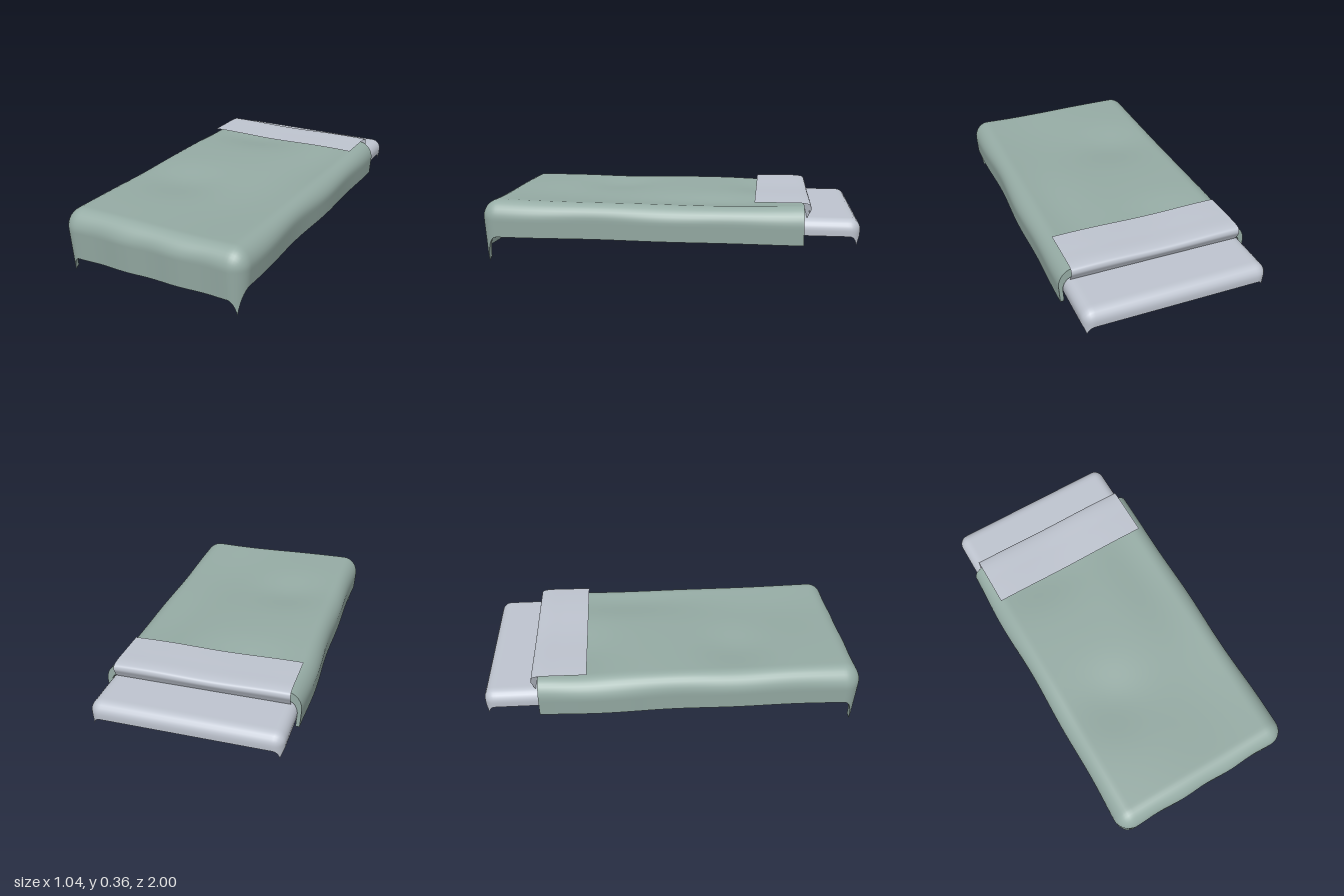
import * as THREE from 'three';

const green = new THREE.MeshStandardMaterial({ color: 0x96aca5, side: THREE.DoubleSide });
green.name = 'sage blanket';
const pale = new THREE.MeshStandardMaterial({ color: 0xbfc5d0, side: THREE.DoubleSide });
pale.name = 'pale linen';

// Smooth surface from a function of two grid indices, (nx + 1) by (nz + 1) points
function gridGeometry(nx, nz, point) {
  const pos = [], index = [];
  for (let j = 0; j <= nz; j++) for (let i = 0; i <= nx; i++) pos.push(...point(i, j));
  for (let j = 0; j < nz; j++) {
    for (let i = 0; i < nx; i++) {
      const a = j * (nx + 1) + i, b = a + 1, c = a + nx + 1, d = c + 1;
      index.push(a, c, b, b, c, d);
    }
  }
  const g = new THREE.BufferGeometry();
  g.setAttribute('position', new THREE.Float32BufferAttribute(pos, 3));
  g.setIndex(index);
  g.computeVertexNormals();
  return g;
}

// Soft hollows in the bedding: x, z, x spread, z spread
const hollows = [
  [0.34, -0.25, 0.16, 0.45], [0.2, 0.5, 0.3, 0.45],
  [-0.2, 0.35, 0.2, 0.2], [-0.18, -0.5, 0.24, 0.17],
];
function wave(x, z) {
  let y = 0.012;
  for (const [cx, cz, sx, sz] of hollows) {
    y -= 0.022 * Math.exp(-(((x - cx) / sx) ** 2) - ((z - cz) / sz) ** 2);
  }
  return Math.max(y, -0.014);
}
const ripple = (x, z) => 0.004 * Math.sin(9 * z + 3 * x) + 0.003 * Math.sin(21 * x + 5 * z);

// A flat cloth laid over a box: it bends round the edge, then hangs.
// The corners hang lowest because they lie furthest from the box.
function drape(o) {
  const { half, back, front, r, top, sideDrop, endDrop, openBack, soft } = o;
  const reach = (drop) => r * Math.PI / 2 + drop - r;
  const ix = half - r, z1 = front - r, z0 = openBack ? back : back + r;
  const a1 = ix + reach(sideDrop);
  const b1 = z1 + reach(endDrop), b0 = openBack ? back : z0 - reach(endDrop);
  return (u, v) => {
    const a = -a1 + 2 * a1 * u, b = b0 + (b1 - b0) * v;
    const cx = THREE.MathUtils.clamp(a, -ix, ix), cz = THREE.MathUtils.clamp(b, z0, z1);
    const qx = a - cx, qz = b - cz, d = Math.hypot(qx, qz);
    let out = 0, drop = 0;
    if (d > 0) {
      const t = Math.min(d / r, Math.PI / 2);
      const hang = Math.max(0, d - r * Math.PI / 2);
      out = r * Math.sin(t) - 0.07 * hang;
      drop = r * (1 - Math.cos(t)) + hang;
    }
    const fade = Math.max(0, 1 - drop / r);
    if (soft) out += ripple(cx, cz) * Math.min(1, drop / r);
    const n = d || 1;
    return [
      cx + qx / n * out,
      top - drop + (soft ? wave(cx, cz) * fade : 0),
      cz + qz / n * out,
    ];
  };
}

export function createModel() {
  const model = new THREE.Group();
  const add = (name, geometry, material) => {
    const m = new THREE.Mesh(geometry, material);
    m.name = name;
    model.add(m);
  };

  // Fitted sheet
  const NX = 80, NZ = 130;
  const sheet = drape({ half: 0.49, back: -1, front: 0.97, r: 0.055, top: 0.266, sideDrop: 0.086, endDrop: 0.086 });
  add('fittedSheet', gridGeometry(NX, NZ, (i, j) => sheet(i / NX, j / NZ)), pale);

  // Blanket: outer face, lining and the edge between them
  const outer = drape({ half: 0.515, back: -0.715, front: 0.994, r: 0.085, top: 0.317, sideDrop: 0.187, endDrop: 0.247, openBack: true, soft: true });
  const inner = drape({ half: 0.493, back: -0.715, front: 0.975, r: 0.06, top: 0.267, sideDrop: 0.137, endDrop: 0.197, openBack: true, soft: true });
  add('blanket', gridGeometry(NX, NZ, (i, j) => outer(i / NX, j / NZ)), green);
  add('blanketLining', gridGeometry(NX, NZ, (i, j) => inner(1 - i / NX, j / NZ)), green);
  const border = [];
  for (let i = 0; i < NX; i++) border.push([i / NX, 0]);
  for (let j = 0; j < NZ; j++) border.push([1, j / NZ]);
  for (let i = NX; i > 0; i--) border.push([i / NX, 1]);
  for (let j = NZ; j >= 0; j--) border.push([0, j / NZ]);
  add('blanketEdge', gridGeometry(border.length - 1, 1, (i, j) => (j ? inner : outer)(...border[i])), green);

  // Top sheet rising from the mattress and folded over the blanket
  const fold = new THREE.CatmullRomCurve3([
    [-0.728, 0.266], [-0.738, 0.285], [-0.75, 0.312], [-0.744, 0.332],
    [-0.715, 0.341], [-0.6, 0.342], [-0.46, 0.341],
  ].map(([z, y]) => new THREE.Vector3(0, y, z)));
  add('foldedTopSheet', gridGeometry(48, 48, (i, j) => {
    const p = fold.getPoint(j / 48), x = -0.46 + 0.92 * i / 48;
    const lift = 0.003 * Math.sin(9 * x + 5.2) * Math.min(1, j / 24);
    return [x, p.y + lift, p.z];
  }), pale);

  return model;
}
